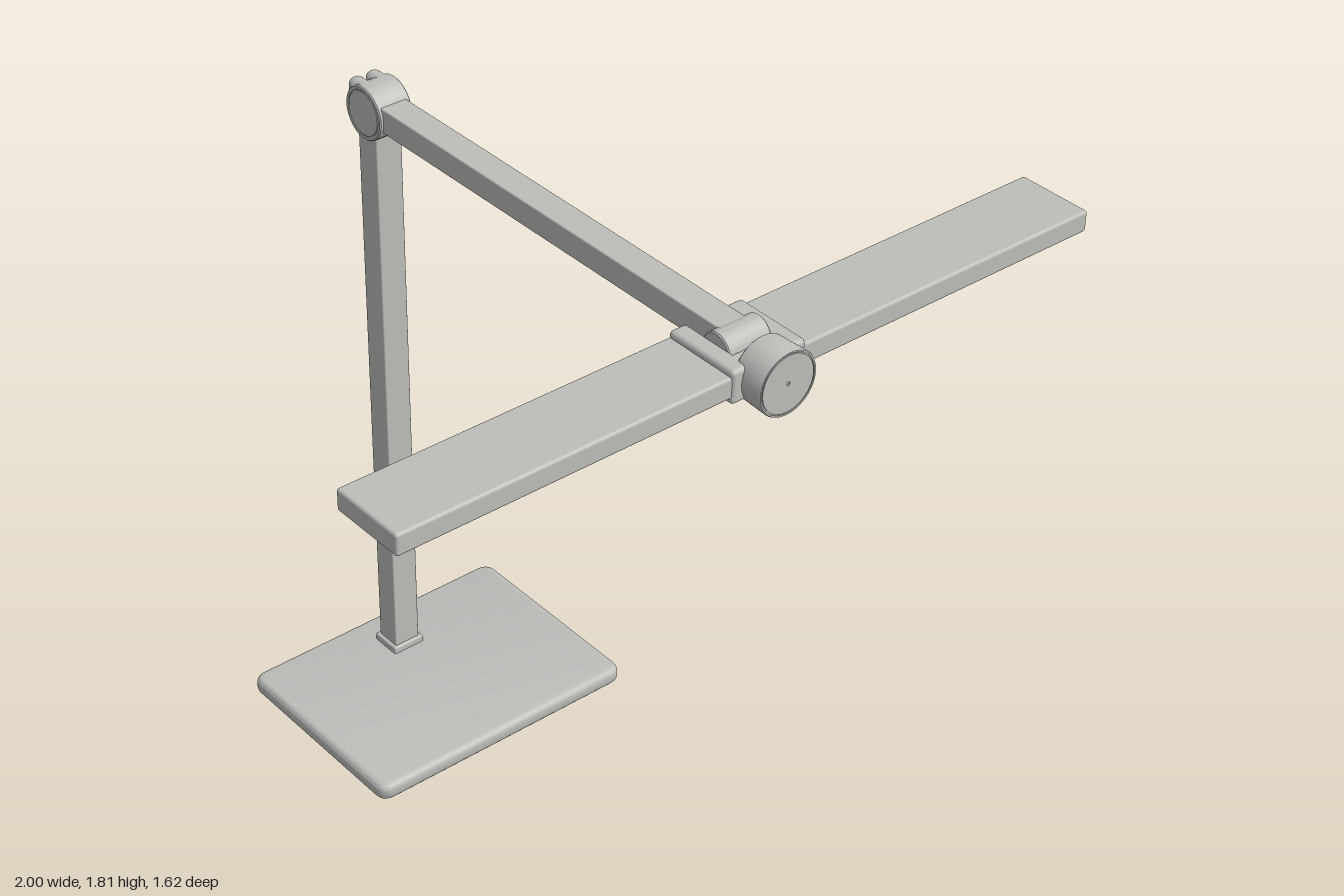
import * as THREE from 'three';
import { RoundedBoxGeometry } from 'three/addons/geometries/RoundedBoxGeometry.js';
import { toCreasedNormals } from 'three/addons/utils/BufferGeometryUtils.js';

export function createModel() {
  const lamp = new THREE.Group();
  lamp.name = 'deskLamp';
  const grey = new THREE.MeshStandardMaterial({ color: 0xbdbdba });
  grey.name = 'satin grey';

  const add = (name, geometry, x = 0, y = 0, z = 0) => {
    const mesh = new THREE.Mesh(geometry, grey);
    mesh.name = name;
    mesh.position.set(x, y, z);
    lamp.add(mesh);
    return mesh;
  };

  // Rounded box given by its limits on each axis
  const box = (name, [x0, x1], [y0, y1], [z0, z1], r) =>
    add(name, new RoundedBoxGeometry(x1 - x0, y1 - y0, z1 - z0, 3, r),
      (x0 + x1) / 2, (y0 + y1) / 2, (z0 + z1) / 2);

  // Solid turned from a half profile of [radius, height] points
  const turned = (points) => toCreasedNormals(
    new THREE.LatheGeometry(points.map(([r, h]) => new THREE.Vector2(r, h)), 48), 0.6);

  // Base plate: outline with rounded corners and a soft edge
  const r = 0.02, hw = 0.39, hd = 0.285;
  const outline = new THREE.Shape();
  outline.moveTo(-hw + r, -hd);
  outline.lineTo(hw - r, -hd).quadraticCurveTo(hw, -hd, hw, -hd + r);
  outline.lineTo(hw, hd - r).quadraticCurveTo(hw, hd, hw - r, hd);
  outline.lineTo(-hw + r, hd).quadraticCurveTo(-hw, hd, -hw, hd - r);
  outline.lineTo(-hw, -hd + r).quadraticCurveTo(-hw, -hd, -hw + r, -hd);
  const plate = new THREE.ExtrudeGeometry(outline, {
    depth: 0.016, bevelThickness: 0.017, bevelSize: 0.018, bevelSegments: 4, curveSegments: 5,
  });
  plate.rotateX(-Math.PI / 2);
  add('base', toCreasedNormals(plate, 0.6), 0, 0.027, -0.505);

  // Feet under the base corners
  for (const x of [-0.325, 0.325]) {
    for (const z of [-0.275, -0.73]) {
      add('foot', new THREE.BoxGeometry(0.07, 0.012, 0.045), x, 0.006, z);
    }
  }

  // Upright post with its collar
  box('postCollar', [-0.049, 0.049], [0.055, 0.08], [-0.726, -0.634], 0.006);
  box('post', [-0.039, 0.039], [0.06, 1.72], [-0.717, -0.643], 0.004);

  // Elbow: disc with a shallow ring groove on each side
  const elbow = add('elbow', turned([
    [0, -0.049], [0.059, -0.049], [0.059, -0.047], [0.062, -0.047], [0.062, -0.049],
    [0.069, -0.049], [0.072, -0.046], [0.072, 0.046], [0.069, 0.049],
    [0.062, 0.049], [0.062, 0.047], [0.059, 0.047], [0.059, 0.049], [0, 0.049],
  ]), 0, 1.74, -0.68);
  elbow.rotation.z = Math.PI / 2;

  // Elbow heel, split in two by a narrow slit
  for (const s of [-1, 1]) {
    add('elbowHeel', new RoundedBoxGeometry(0.043, 0.07, 0.075, 5, 0.02),
      s * 0.0255, 1.776, -0.714);
  }

  // Horizontal arm and the barrel it ends in
  box('arm', [-0.039, 0.039], [1.71, 1.777], [-0.68, 0.64], 0.004);
  const barrel = add('armBarrel', turned([
    [0, -0.062], [0.041, -0.062], [0.044, -0.059], [0.044, 0.059], [0.041, 0.062], [0, 0.062],
  ]), 0, 1.738, 0.643);
  barrel.rotation.z = Math.PI / 2;

  // Head bracket: floor, front wall and two cheeks around the barrel
  box('bracketFloor', [-0.107, 0.107], [1.667, 1.692], [0.535, 0.75], 0.01);
  box('bracketFront', [-0.107, 0.107], [1.667, 1.754], [0.69, 0.75], 0.012);
  for (const s of [-1, 1]) {
    const cheek = s < 0 ? [-0.107, -0.056] : [0.056, 0.107];
    box('bracketCheek', cheek, [1.667, 1.754], [0.535, 0.75], 0.012);

    // Light panel reaching out to the side
    const panel = s < 0 ? [-1, -0.09] : [0.09, 1];
    box('lightPanel', panel, [1.681, 1.738], [0.537, 0.745], 0.008);
  }

  // Front dial with a ring groove and a small centre dimple
  const dial = add('dial', turned([
    [0, 0], [0.077, 0], [0.08, 0.003], [0.083, 0.086], [0.081, 0.09],
    [0.077, 0.09], [0.077, 0.087], [0.074, 0.087], [0.074, 0.09],
    [0.005, 0.09], [0.005, 0.087], [0, 0.087],
  ]), 0, 1.712, 0.72);
  dial.rotation.x = Math.PI / 2;

  return lamp;
}
